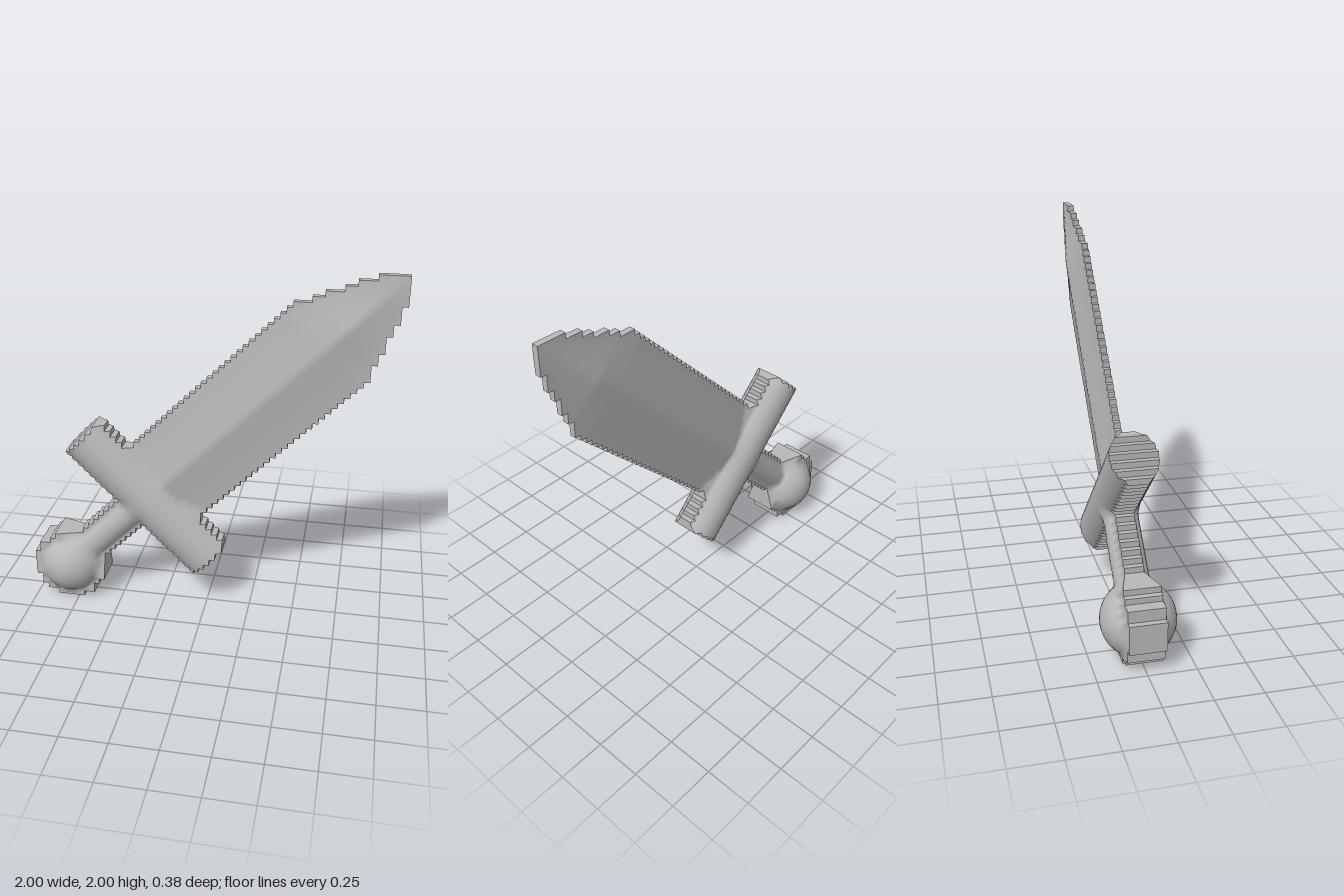
import * as THREE from 'three';

const CELL = 1 / 32;
const GRID = 64;

// Sword coordinates: u runs along the diagonal from the pommel to the tip, v across it
const along = (x, y) => (x + 0.8 + y - 0.2) / Math.SQRT2;
const across = (x, y) => (y - 0.2 - x - 0.8) / Math.SQRT2;

const dome = (r, d) => Math.sqrt(Math.max(0, r * r - d * d));
const bladeWidth = (u) => Math.min(0.287, 0.42 * (2.67 - u));

// Outline of each part; the first match owns a cell
const parts = {
  guard: (u, v) => u > 0.515 && u < 0.785 && Math.abs(v) < 0.505,
  blade: (u, v) => u >= 0.78 && Math.abs(v) < bladeWidth(u),
  pommel: (u, v) => Math.hypot(u, v) < 0.2,
  handle: (u, v) => u > 0.1 && u < 0.6 && Math.abs(v) < 0.095,
};

function partAt(i, j) {
  if (i < 0 || j < 0 || i >= GRID || j >= GRID) return null;
  const x = -1 + (i + 0.5) * CELL, y = (j + 0.5) * CELL;
  const u = along(x, y), v = across(x, y);
  return Object.keys(parts).find((name) => parts[name](u, v)) || null;
}

// Thickness of the rim walls along the sword
function rim(u) {
  const stops = [[0.1, 0.095], [0.2, 0.05], [0.76, 0.05], [0.87, 0.012]];
  if (u <= stops[0][0]) return stops[0][1];
  for (let k = 1; k < stops.length; k++) {
    const [a, ha] = stops[k - 1], [b, hb] = stops[k];
    if (u < b) return ha + (hb - ha) * (u - a) / (b - a);
  }
  return 0.012;
}

// Soft maximum, giving fillets where parts meet
function blend(a, b) {
  const k = 0.04, m = Math.max(k - Math.abs(a - b), 0);
  return Math.max(a, b) + m * m / (4 * k);
}

// Half thickness of the sword at a point
function height(x, y) {
  const u = along(x, y), v = across(x, y);
  const pommel = dome(0.193, Math.hypot(u, v));
  const handle = u < 0.65 ? dome(0.092, v) : 0;
  const guard = dome(0.14, u - 0.65) * 0.88;
  const taper = Math.min(1, Math.max(0, (2.55 - u) / 0.42));
  const ridge = Math.max(0, 1 - Math.abs(v) / Math.max(0.05, bladeWidth(u)));
  const blade = u > 0.65 ? 0.012 + 0.05 * ridge * taper : 0;
  return Math.max(rim(u), blend(guard, Math.max(pommel, handle, blade)));
}

function slopeNormal(x, y, side) {
  const e = 0.012;
  return new THREE.Vector3(
    (height(x - e, y) - height(x + e, y)) / (2 * e),
    (height(x, y - e) - height(x, y + e)) / (2 * e), 1
  ).normalize().multiply(new THREE.Vector3(1, 1, side));
}

function buildPart(name) {
  const position = [], normal = [];
  // Two triangles from four corners in counterclockwise order
  const quad = (corners, normals) => {
    for (const k of [0, 1, 2, 0, 2, 3]) {
      position.push(...corners[k]);
      normal.push(...normals[k].toArray());
    }
  };
  for (let i = 0; i < GRID; i++) {
    for (let j = 0; j < GRID; j++) {
      if (partAt(i, j) !== name) continue;
      const x0 = -1 + i * CELL, x1 = x0 + CELL, y0 = j * CELL, y1 = y0 + CELL;
      const ring = [[x0, y0], [x1, y0], [x1, y1], [x0, y1]];

      // Smooth front and back faces
      for (const side of [1, -1]) {
        const order = side > 0 ? ring : [...ring].reverse();
        quad(order.map(([x, y]) => [x, y, side * height(x, y)]),
          order.map(([x, y]) => slopeNormal(x, y, side)));
      }

      // Stepped rim walls on the open sides of the cell
      [[0, -1], [1, 0], [0, 1], [-1, 0]].forEach(([dx, dy], k) => {
        if (partAt(i + dx, j + dy)) return;
        const a = ring[k], b = ring[(k + 1) % 4];
        const ha = height(...a), hb = height(...b);
        quad([[...a, ha], [...a, -ha], [...b, -hb], [...b, hb]],
          Array(4).fill(new THREE.Vector3(dx, dy, 0)));
      });
    }
  }
  const geometry = new THREE.BufferGeometry();
  geometry.setAttribute('position', new THREE.Float32BufferAttribute(position, 3));
  geometry.setAttribute('normal', new THREE.Float32BufferAttribute(normal, 3));
  return geometry;
}

export function createModel() {
  const group = new THREE.Group();
  group.name = 'sword';
  const grey = new THREE.MeshStandardMaterial({ color: 0xb8b8b8 });
  grey.name = 'grey';
  for (const name of Object.keys(parts)) {
    const mesh = new THREE.Mesh(buildPart(name), grey);
    mesh.name = name;
    group.add(mesh);
  }
  return group;
}
